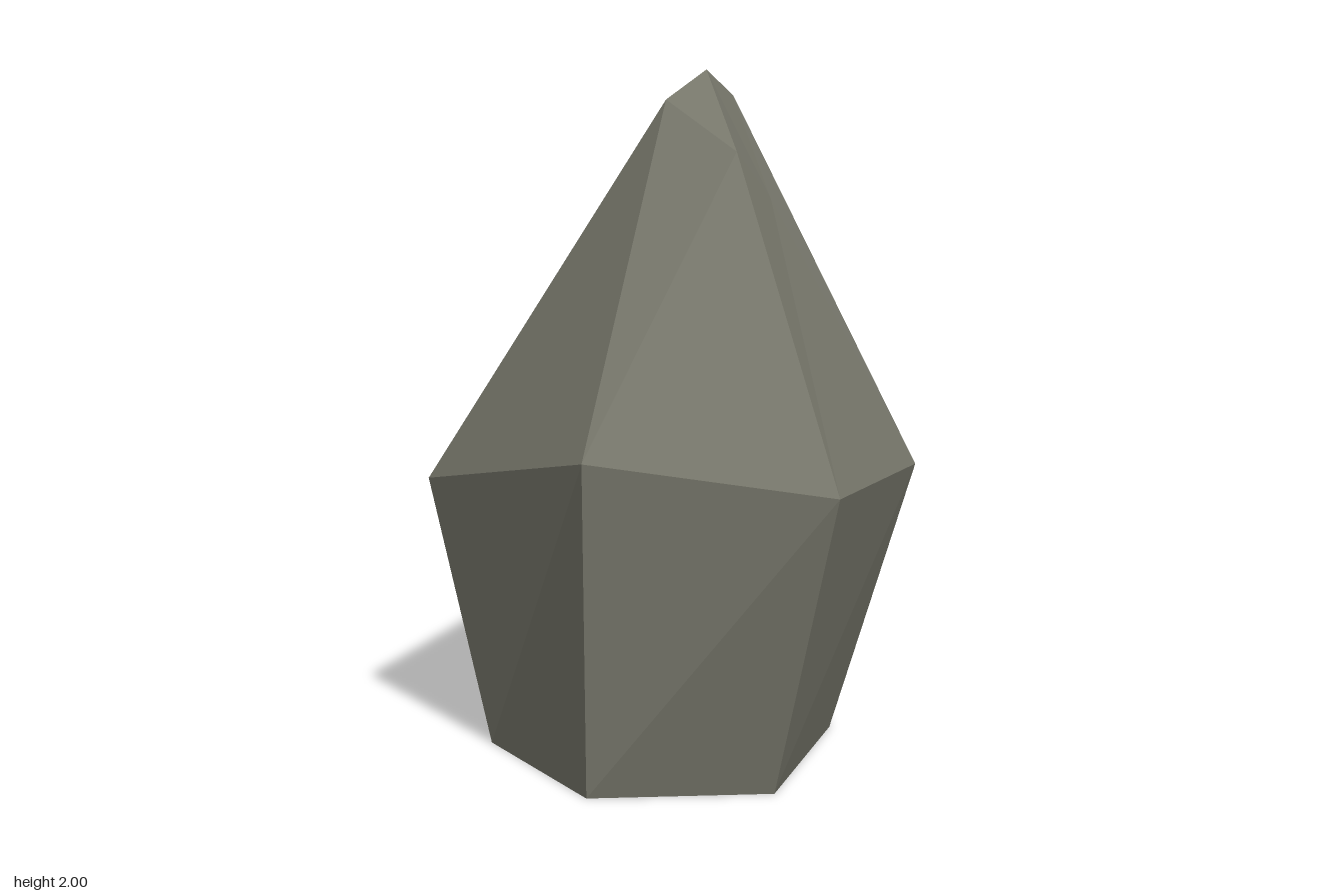
import * as THREE from 'three';

export function createModel() {
  const group = new THREE.Group();
  group.name = 'rock';

  const stone = new THREE.MeshStandardMaterial({ color: 0x78786c, flatShading: true, side: THREE.DoubleSide });
  stone.name = 'stone grey';

  // six-sided cross-sections from the ground up, clockwise seen from above
  const rings = [
    // open base
    [[0.22, 0, -0.52], [0.46, 0, 0], [0.38, 0, 0.58], [-0.13, 0, 0.72], [-0.52, 0, 0.34], [-0.28, 0, -0.23]],
    // widest girdle
    [[0.28, 0.96, -0.745], [0.695, 0.81, -0.145], [0.57, 0.89, 0.715], [-0.13, 0.96, 0.74], [-0.7, 0.81, 0.34], [-0.355, 0.89, -0.41]],
    // shoulder below the tip
    [[0.12, 1.92, -0.17], [0.26, 1.62, -0.03], [0.19, 1.77, 0.16], [0, 1.92, 0.245], [-0.1, 1.61, 0.07], [-0.09, 1.77, -0.17]],
  ];
  const tip = [0.07, 2, 0];

  const positions = [];
  const triangle = (a, b, c) => positions.push(...a, ...b, ...c);

  // side bands, each facet split along the same diagonal
  for (let r = 0; r < rings.length - 1; r++) {
    const low = rings[r], high = rings[r + 1];
    for (let i = 0; i < 6; i++) {
      const j = (i + 1) % 6;
      triangle(low[j], low[i], high[i]);
      triangle(low[j], high[i], high[j]);
    }
  }

  // pointed cap
  const top = rings[2];
  for (let i = 0; i < 6; i++) triangle(top[(i + 1) % 6], top[i], tip);

  const geometry = new THREE.BufferGeometry();
  geometry.setAttribute('position', new THREE.Float32BufferAttribute(positions, 3));
  geometry.computeVertexNormals();

  const mesh = new THREE.Mesh(geometry, stone);
  mesh.name = 'facetedBoulder';
  group.add(mesh);
  return group;
}
